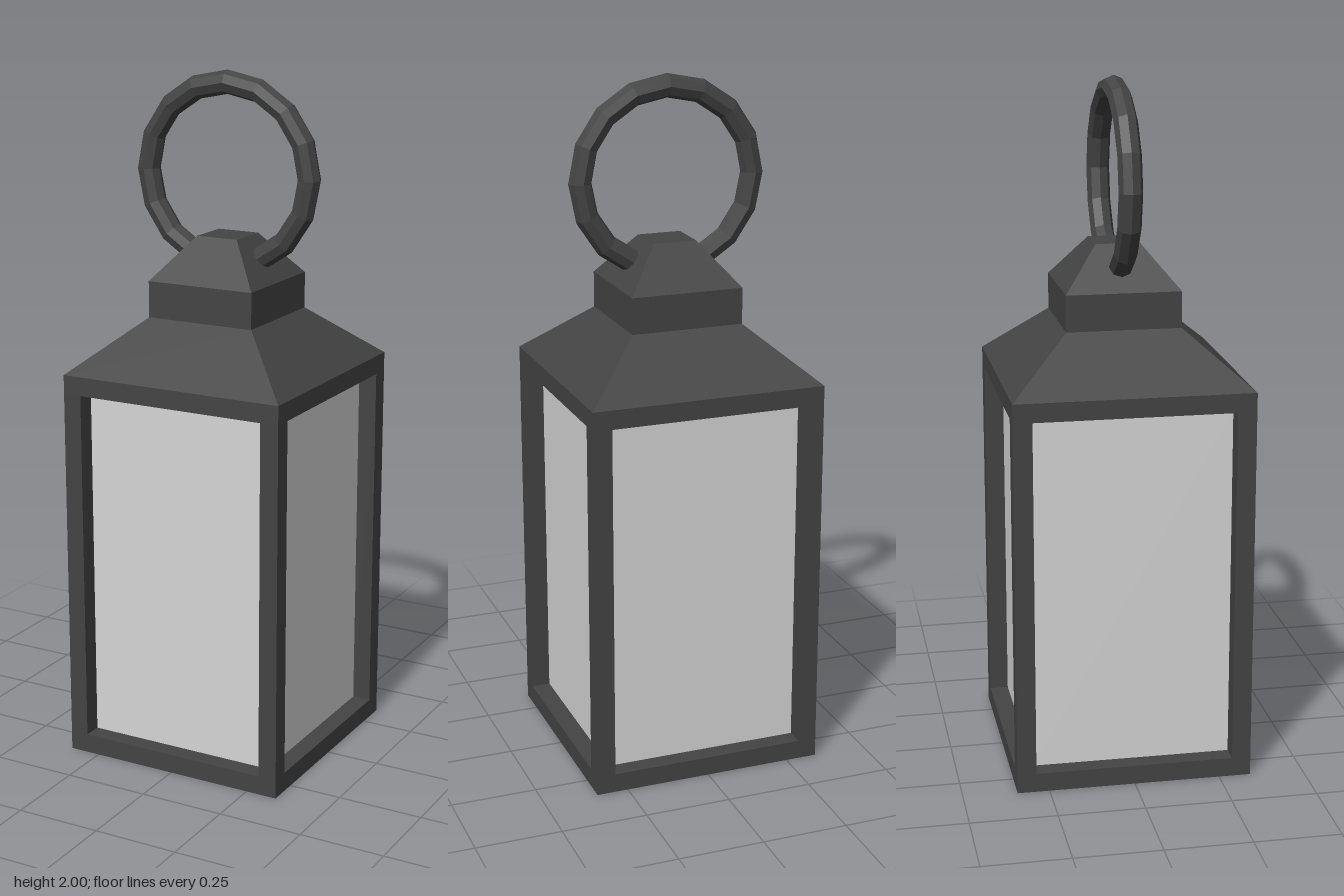
import * as THREE from 'three';

export function createModel() {
  const model = new THREE.Group();
  const iron = new THREE.MeshStandardMaterial({ color: 0x444444, flatShading: true });
  iron.name = 'dark iron';
  const pane = new THREE.MeshStandardMaterial({ color: 0xd6d6d6, flatShading: true });
  pane.name = 'pale glass';

  const add = (name, geometry, material, x = 0, y = 0, z = 0) => {
    const mesh = new THREE.Mesh(geometry, material);
    mesh.name = name;
    mesh.position.set(x, y, z);
    model.add(mesh);
    return mesh;
  };

  // Square block or tapered pyramid section between two heights
  const taper = (name, bottomHalf, topHalf, y0, y1) => {
    const g = new THREE.CylinderGeometry(topHalf * Math.SQRT2, bottomHalf * Math.SQRT2, y1 - y0, 4);
    g.rotateY(Math.PI / 4);
    return add(name, g, iron, 0, (y0 + y1) / 2, 0);
  };

  const half = 0.343, inner = 0.288, sill = 0.056, lintel = 1.1, eave = 1.155;

  // Frame: base, top plate and four corner posts
  taper('base', half, half, 0, sill);
  taper('topPlate', half, half, lintel, eave);
  const post = half - inner, mid = (half + inner) / 2;
  for (const sx of [-1, 1]) {
    for (const sz of [-1, 1]) {
      add('cornerPost', new THREE.BoxGeometry(post, lintel - sill, post), iron,
        sx * mid, (sill + lintel) / 2, sz * mid);
    }
  }

  // Four recessed glass panes
  for (let i = 0; i < 4; i++) {
    const g = new THREE.PlaneGeometry(inner * 2, lintel - sill);
    g.translate(0, 0, inner);
    g.rotateY(i * Math.PI / 2);
    add('glassPane', g, pane, 0, (sill + lintel) / 2, 0);
  }

  // Stepped roof
  taper('roof', half, 0.165, eave, 1.307);
  taper('neck', 0.165, 0.165, 1.307, 1.412);
  taper('cap', 0.165, 0.064, 1.412, 1.535);

  // Carrying ring
  add('ring', new THREE.TorusGeometry(0.258, 0.034, 8, 16), iron, 0, 1.708, 0);

  return model;
}
